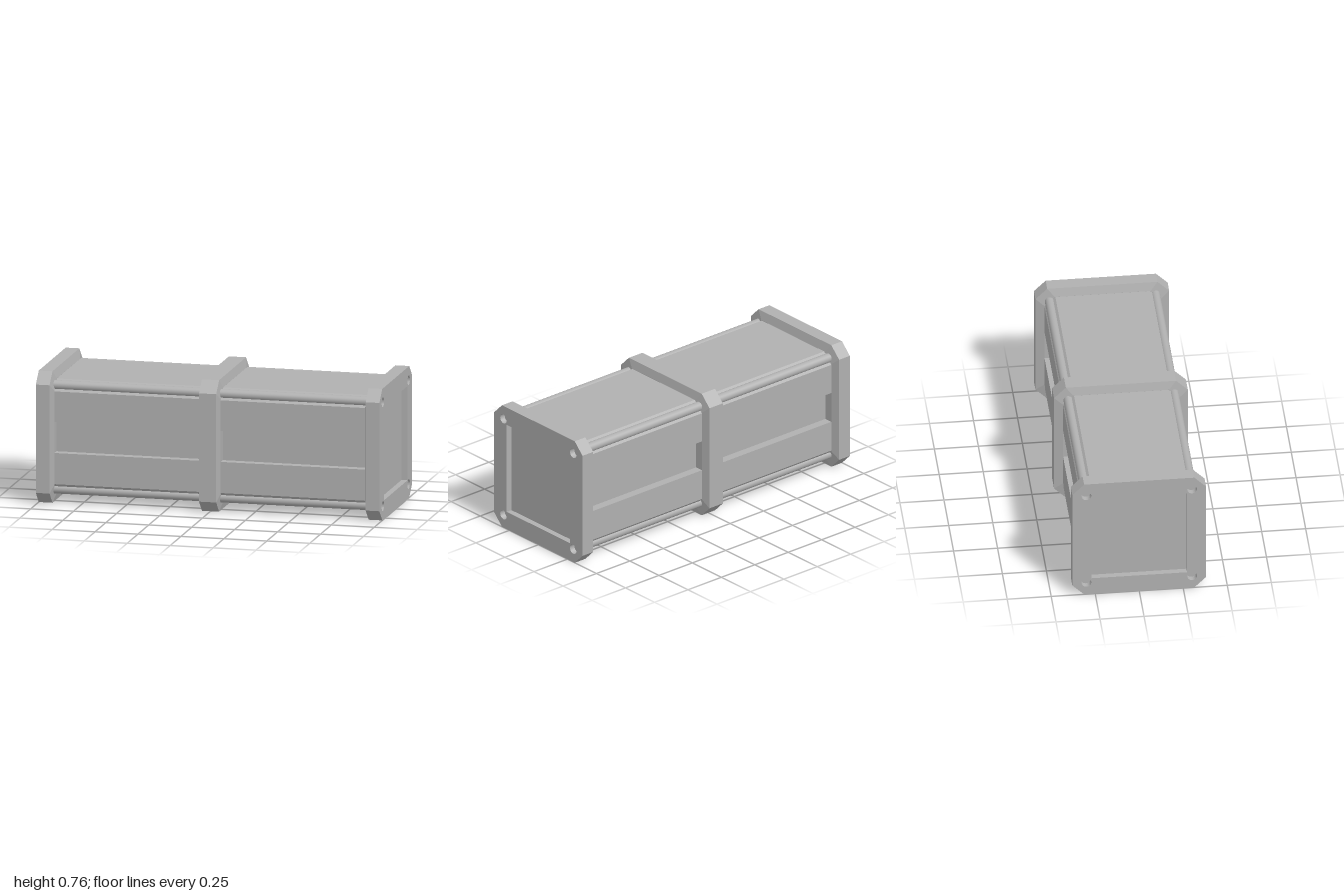
import * as THREE from 'three';

const MID = 0.38;      // centre height and half width of the frames
const ROD = 0.3;       // corner rod offset from the centre line
const CORNERS = [[1, 1], [-1, 1], [-1, -1], [1, -1]];

const shapeOf = (pts) => new THREE.Shape(pts.map(([a, b]) => new THREE.Vector2(a, b)));

// Square with cut corners
function octagon(h, c) {
  const k = h - c;
  return shapeOf([[h, -k], [h, k], [k, h], [-k, h], [-h, k], [-h, -k], [-k, -h], [k, -h]]);
}

// Extrude a cross-section along x, from x0 to x1
function extrudeX(shape, x0, x1, taper) {
  const geo = new THREE.ExtrudeGeometry(shape, { depth: x1 - x0, bevelEnabled: false, curveSegments: 24 });
  if (taper) {
    const p = geo.attributes.position;
    for (let i = 0; i < p.count; i++) {
      const s = p.getZ(i) > (x1 - x0) / 2 ? taper : 1;
      p.setXY(i, p.getX(i) * s, p.getY(i) * s);
    }
    geo.computeVertexNormals();
  }
  return geo.rotateY(Math.PI / 2).translate(x0, 0, 0);
}

export function createModel() {
  const model = new THREE.Group();
  model.name = 'crate';
  const grey = new THREE.MeshStandardMaterial({ color: 0xb0b0b0 });
  grey.name = 'grey';

  const add = (parent, name, geo) => {
    const mesh = new THREE.Mesh(geo, grey);
    mesh.name = name;
    parent.add(mesh);
    return mesh;
  };

  const core = new THREE.Group();
  core.name = 'core';
  core.position.y = MID;
  model.add(core);

  // Body: side grooves and notched corners for the rods
  const right = [[0.33, -0.088], [0.28, -0.088], [0.28, 0.092], [0.33, 0.092]];
  const corner = [[0.33, 0.268], [0.315, 0.288], [0.28, 0.28], [0.288, 0.315], [0.268, 0.33]];
  const flip = (pts, sx, sy) => pts.map(([a, b]) => [a * sx, b * sy]);
  const profile = [
    ...right, ...corner,
    ...flip(corner, -1, 1).reverse(), ...flip(right, -1, 1).reverse(),
    ...flip(corner, -1, -1), ...flip(corner, 1, -1).reverse(),
  ];
  add(core, 'body', extrudeX(shapeOf(profile), -0.965, 0.965));

  // Corner rods
  for (const [sy, sz] of CORNERS) {
    const rod = add(core, 'cornerRod', new THREE.CylinderGeometry(0.0275, 0.0275, 1.934, 24).rotateZ(Math.PI / 2));
    rod.position.set(0, sy * ROD, sz * ROD);
  }

  // End frames: open centre, four rod holes, tapered inner side
  const face = octagon(0.38, 0.067);
  const h = 0.272;
  face.holes.push(new THREE.Path([[-h, -h], [-h, h], [h, h], [h, -h]].map(([a, b]) => new THREE.Vector2(a, b))));
  for (const [sy, sz] of CORNERS) {
    face.holes.push(new THREE.Path().absarc(sz * ROD, sy * ROD, 0.028, 0, Math.PI * 2, true));
  }
  const frameGeo = extrudeX(face, 0.92, 1);
  const endTaper = extrudeX(octagon(0.38, 0.067), 0, 0.015, 0.87).rotateY(Math.PI).translate(0.92, 0, 0);

  // Middle band: straight rim with a taper on each side
  add(core, 'middleBand', extrudeX(octagon(0.38, 0.067), -0.05, 0.05));
  const bandTaper = extrudeX(octagon(0.38, 0.067), 0.05, 0.063, 0.87);

  for (const turn of [0, Math.PI]) {
    const end = new THREE.Group();
    end.name = turn ? 'rightEnd' : 'leftEnd';
    end.rotation.y = turn;
    core.add(end);
    add(end, 'endFrame', frameGeo);
    add(end, 'endFrameTaper', endTaper);
    add(end, 'middleBandTaper', bandTaper);
  }
  return model;
}
